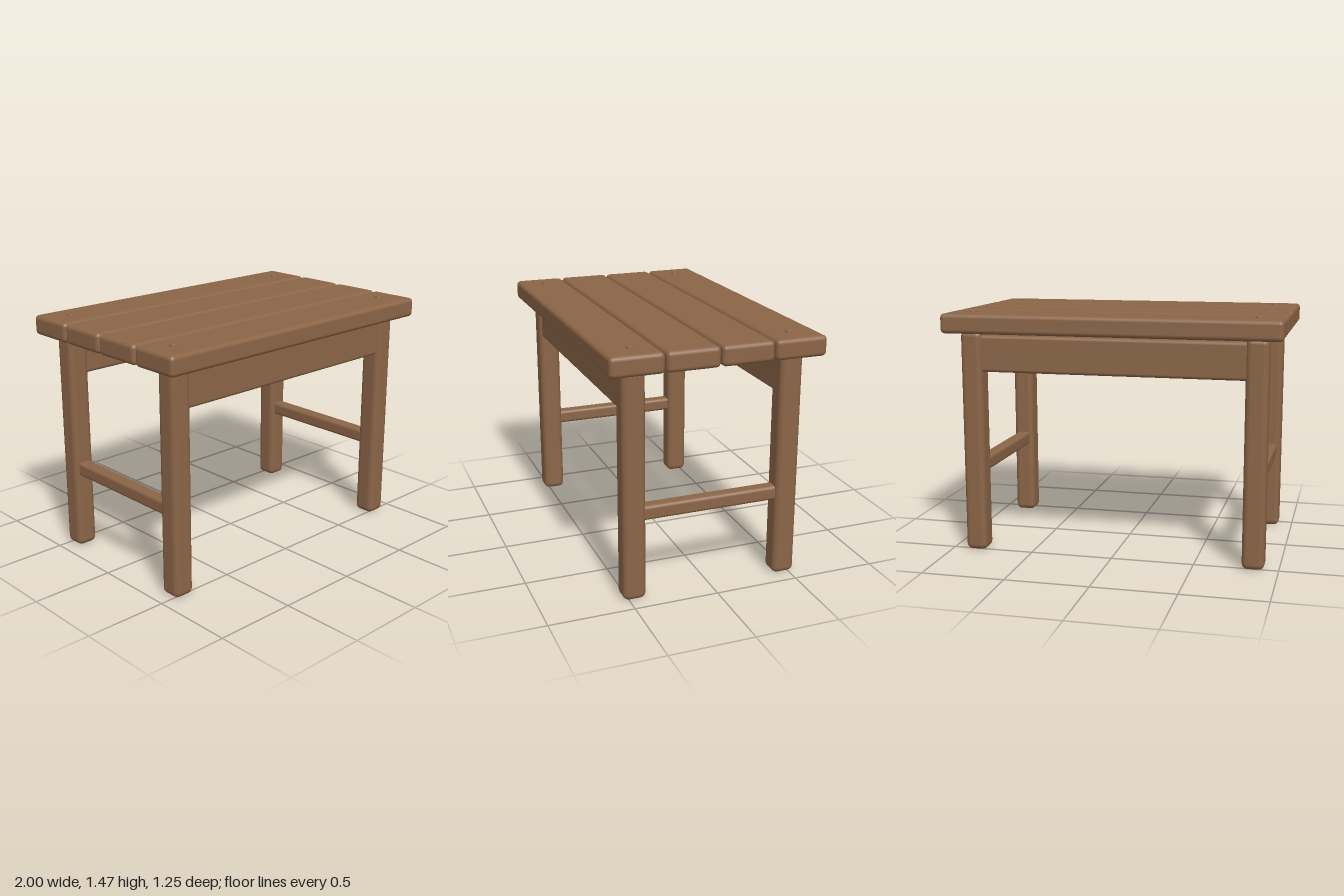
import * as THREE from 'three';
import { RoundedBoxGeometry } from 'three/addons/geometries/RoundedBoxGeometry.js';

export function createModel() {
  const table = new THREE.Group();
  table.name = 'plankTable';
  const wood = new THREE.MeshStandardMaterial({ color: 0x8b6547 });
  wood.name = 'brown wood';

  const add = (name, geometry, x, y, z) => {
    const mesh = new THREE.Mesh(geometry, wood);
    mesh.name = name;
    mesh.position.set(x, y, z);
    table.add(mesh);
  };

  const legX = 0.85, legZ = 0.465;

  // Four planks of the top, with narrow gaps between
  const plank = new RoundedBoxGeometry(2, 0.117, 0.307, 3, 0.025);
  for (let i = 0; i < 4; i++) add('topPlank', plank, 0, 1.4, (i - 1.5) * 0.316);

  // Legs, and a domed peg above each
  const leg = new RoundedBoxGeometry(0.132, 1.35, 0.135, 3, 0.035);
  const peg = new THREE.LatheGeometry([
    [0.023, -0.02], [0.023, 0.004], [0.019, 0.009], [0.011, 0.012], [0, 0.013],
  ].map(([r, y]) => new THREE.Vector2(r, y)), 16);
  for (const sx of [-1, 1]) {
    for (const sz of [-1, 1]) {
      add('leg', leg, sx * legX, 0.675, sz * legZ);
      add('peg', peg, sx * legX, 1.458, sz * legZ);
    }
  }

  // Long aprons under the top, joining the legs front and back
  const apron = new RoundedBoxGeometry(1.66, 0.22, 0.1, 3, 0.02);
  for (const sz of [-1, 1]) add('apron', apron, 0, 1.215, sz * legZ);

  // Side stretchers low between the legs
  const stretcher = new RoundedBoxGeometry(0.082, 0.086, 0.88, 3, 0.02);
  for (const sx of [-1, 1]) add('sideStretcher', stretcher, sx * legX, 0.513, 0);

  return table;
}
